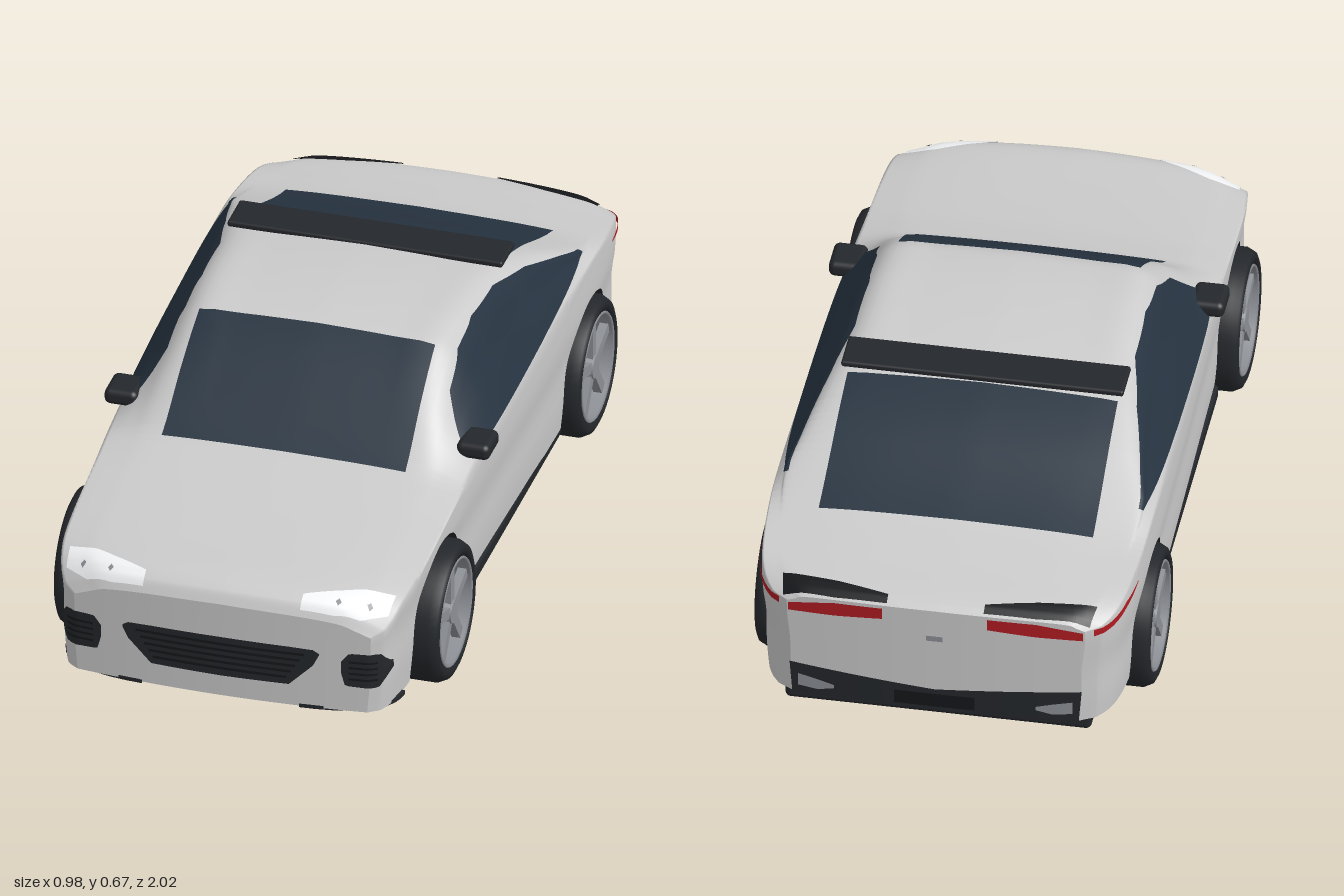
import * as THREE from 'three';
import { RoundedBoxGeometry } from 'three/addons/geometries/RoundedBoxGeometry.js';

const mat = (color) => new THREE.MeshStandardMaterial({ color, side: THREE.DoubleSide });

// smooth interpolation through [position, value] keys in ascending order
function keyed(keys) {
  const slope = keys.map((k, i) => {
    const a = keys[Math.max(i - 1, 0)], b = keys[Math.min(i + 1, keys.length - 1)];
    return (b[1] - a[1]) / (b[0] - a[0]);
  });
  return (p) => {
    let i = 0;
    while (i < keys.length - 2 && p > keys[i + 1][0]) i++;
    const [x0, y0] = keys[i], [x1, y1] = keys[i + 1], h = x1 - x0;
    const t = THREE.MathUtils.clamp((p - x0) / h, 0, 1), s = 1 - t;
    return (1 + 2 * t) * s * s * y0 + t * s * s * h * slope[i]
      + t * t * (3 - 2 * t) * y1 - t * t * s * h * slope[i + 1];
  };
}

// body guide lines along z: centre line, roof/hood edge, shoulder
const topY = keyed([[-1, .422], [-.97, .437], [-.85, .455], [-.72, .48], [-.6, .525], [-.45, .59], [-.3, .638], [-.15, .661],
  [0, .669], [.1, .665], [.17, .652], [.3, .572], [.41, .483], [.46, .452], [.5, .44], [.6, .42], [.8, .397], [.93, .386], [.965, .377], [.985, .362], [1, .337]]);
const edgeX = keyed([[-1, .32], [-.9, .37], [-.72, .405], [-.6, .42], [-.5, .395], [-.35, .362], [-.2, .335], [0, .325], [.2, .315], [.45, .335], [.7, .34], [.93, .33], [1, .29]]);
const edgeDrop = keyed([[-1, .008], [-.85, .01], [-.72, .014], [-.6, .02], [-.3, .02], [.2, .016], [.45, .008], [.8, .009], [.93, .013], [1, .014]]);
const shoulderX = keyed([[-1, .37], [-.98, .41], [-.92, .442], [-.8, .46], [-.6, .468], [-.1, .463], [.2, .458], [.5, .453], [.8, .446], [.93, .431], [.98, .41], [1, .378]]);
const shoulderY = keyed([[-1, .395], [-.9, .43], [-.75, .455], [-.6, .468], [-.2, .462], [.2, .447], [.4, .43], [.6, .4], [.85, .367], [.93, .345], [1, .29]]);
const sideShape = keyed([[.08, .955], [.18, .975], [.28, .978], [.36, 1], [.48, 1]]);

const WHEELS = [.615, -.6], WHEEL_Y = .178, ARCH = .19;
const sillY = (z) => (z > .43 ? .08 : z > -.6 ? .105 : .125);
function bottomY(z) {
  for (const c of WHEELS) {
    const d = Math.abs(z - c);
    if (d < ARCH + 1e-6) return WHEEL_Y + Math.sqrt(Math.max(0, ARCH * ARCH - d * d));
  }
  return sillY(z);
}
// rounds the nose and tail in plan
const bowZ = (x, z) => z - Math.sign(z) * (z > 0 ? .025 : .02) * (x / .4) ** 2 * THREE.MathUtils.smoothstep(Math.abs(z), .8, 1);

// half cross-section from the centre line down to the lower edge
function section(z) {
  const T = topY(z), R = edgeX(z), E = T - edgeDrop(z), S = shoulderX(z), B = shoulderY(z), low = bottomY(z);
  const pts = new THREE.SplineCurve([[0, T], [R * .6, T - edgeDrop(z) * .3], [R, E],
    [R + (S - R) * .54, E - (E - B) * .48], [S, B]].map((p) => new THREE.Vector2(...p))).getPoints(20);
  for (let i = 1; i <= 10; i++) {
    const y = B + (low - B) * i / 10;
    pts.push(new THREE.Vector2(S * sideShape(y) / sideShape(B), y));
  }
  return pts;
}

// surface from rows of [x, y, z] points
function sheet(rows) {
  const n = rows[0].length, index = [];
  for (let i = 0; i < rows.length - 1; i++) for (let j = 0; j < n - 1; j++) {
    const a = i * n + j, c = a + n;
    index.push(a, a + 1, c, a + 1, c + 1, c);
  }
  const g = new THREE.BufferGeometry();
  g.setAttribute('position', new THREE.Float32BufferAttribute(rows.flat(2), 3));
  g.setIndex(index);
  g.computeVertexNormals();
  return g;
}

export function createModel() {
  const car = new THREE.Group();
  car.name = 'car';
  const paint = mat(0xcccccc), dark = mat(0x24272b), black = mat(0x15171a), glass = mat(0x263340),
    lamp = mat(0xf4f6f8), red = mat(0xb01c22), metal = mat(0x8d9096);
  const add = (name, geo, m, x = 0, y = 0, z = 0, parent = car) => {
    const o = new THREE.Mesh(geo, m);
    o.name = name;
    o.position.set(x, y, z);
    parent.add(o);
    return o;
  };
  // adds a mirrored twin of a left-hand part
  const pair = (o) => {
    const twin = o.clone();
    twin.scale.x = -1;
    twin.position.x *= -1;
    twin.name = o.name.replace('left', 'right');
    car.add(twin);
  };

  // stations along the car, with extra ones around the wheel arches
  const zs = [-1, -.995, -.985, .985, .99, .995, 1];
  for (let i = -48; i <= 48; i++) zs.push(i / 49);
  for (const c of WHEELS) {
    zs.push(c - ARCH - .001, c + ARCH + .001);
    for (let i = 0; i <= 24; i++) zs.push(c - ARCH * Math.cos(i * Math.PI / 24));
  }
  zs.sort((a, b) => a - b);

  // body shell, nose and tail
  const shell = add('body shell', sheet(zs.map((z) => {
    const half = section(z).map((p) => [p.x, p.y, bowZ(p.x, z)]);
    return [...half.slice().reverse(), ...half.slice(1).map(([x, y, w]) => [-x, y, w])];
  })), paint);
  const across = Array.from({ length: 17 }, (_, i) => i / 8 - 1);
  const caps = [1, -1].map((end) => add(end > 0 ? 'nose' : 'tail', sheet(section(end).map((p) =>
    across.map((u) => [p.x * u * end, p.y, bowZ(p.x * u, end)]))), paint));

  // underside: floors and dark wheel tunnels
  const inArch = (c) => (z) => Math.abs(z - c) < ARCH + .0011;
  const under = (name, test, m) => add(name, sheet(zs.filter(test).map((z) => {
    const p = section(z).at(-1);
    return across.map((u) => [p.x * u, p.y, bowZ(p.x * u, z)]);
  })), m);
  under('front floor', (z) => z > WHEELS[0] + ARCH, paint);
  under('middle floor', (z) => z < WHEELS[0] - ARCH && z > WHEELS[1] + ARCH, paint);
  under('rear floor', (z) => z < WHEELS[1] - ARCH, dark);
  under('front wheel tunnel', inArch(WHEELS[0]), dark);
  under('rear wheel tunnel', inArch(WHEELS[1]), dark);

  // panel between two polylines, projected on to the body along an axis
  const ray = new THREE.Raycaster();
  const along = (line, t) => {
    const f = t * (line.length - 1), i = Math.min(Math.floor(f), line.length - 2), k = f - i;
    return [0, 1].map((n) => line[i][n] + (line[i + 1][n] - line[i][n]) * k);
  };
  function panel(name, lower, upper, axis, sign, m, lift = .005, nu = 16, nv = 8) {
    let depth = axis === 'x' ? .42 : axis === 'z' ? .95 : .35;
    const rows = [];
    for (let v = 0; v <= nv; v++) {
      rows.push([]);
      for (let u = 0; u <= nu; u++) {
        const a = along(lower, u / nu), b = along(upper, u / nu);
        const p = [0, 1].map((n) => a[n] + (b[n] - a[n]) * v / nv);
        const at = (d) => (axis === 'x' ? [d, p[1], p[0]] : axis === 'y' ? [p[0], d, p[1]] : [p[0], p[1], d]);
        const dir = new THREE.Vector3();
        dir[axis] = -sign;
        ray.set(new THREE.Vector3(...at(2 * sign)), dir);
        const hit = ray.intersectObjects([shell, ...caps], false)[0];
        if (hit) depth = Math.abs(hit.point[axis]);
        rows[v].push(at(sign * (depth + lift)));
      }
    }
    return add(name, sheet(rows), m);
  }

  // glass
  panel('windshield', [[-.31, .455], [.31, .455]], [[-.3, .165], [.3, .165]], 'y', 1, glass);
  panel('rear window', [[-.34, -.71], [.34, -.71]], [[-.335, -.34], [.335, -.34]], 'y', 1, glass);
  pair(panel('left side window',
    [[.34, .45], [.22, .453], [.1, .458], [-.05, .465], [-.2, .472], [-.35, .481], [-.48, .489], [-.605, .496]],
    [[.33, .475], [.24, .57], [.13, .625], [0, .642], [-.17, .633], [-.33, .6], [-.48, .547], [-.605, .501]],
    'x', 1, glass, .005, 28, 10));

  // headlights wrapped over the nose corners, with small bulbs
  pair(panel('left headlight', [[.2, .987], [.28, .981], [.35, .968], [.41, .935]],
    [[.2, .957], [.28, .925], [.34, .898], [.415, .885]], 'y', 1, lamp, .004, 20, 10));
  for (const [x, z] of [[.29, .958], [.365, .94]]) pair(panel('left headlight bulb', [[x - .007, z], [x, z + .008], [x + .007, z]],
    [[x - .007, z - .001], [x, z - .008], [x + .007, z - .001]], 'y', 1, metal, .007, 4, 2));

  // grille and side intakes with slats
  panel('grille', [[-.25, .23], [-.235, .2], [-.175, .14], [0, .138], [.175, .14], [.235, .2], [.25, .23]],
    [[-.25, .235], [-.235, .244], [-.175, .246], [0, .247], [.175, .246], [.235, .244], [.25, .235]], 'z', 1, dark, .004, 24, 6);
  for (let i = 0; i < 5; i++) {
    const y = .158 + i * .017, w = .17 + i * .011;
    panel('grille slat', [[-w, y], [w, y]], [[-w, y + .007], [w, y + .007]], 'z', 1, black, .008, 12, 1);
  }
  pair(panel('left intake', [[.305, .19], [.315, .153], [.395, .15], [.42, .19]],
    [[.305, .22], [.325, .245], [.4, .246], [.42, .21]], 'z', 1, dark, .005));
  for (let i = 0; i < 4; i++) {
    const y = .172 + i * .016;
    pair(panel('left intake slat', [[.325, y], [.395, y]], [[.325, y + .006], [.395, y + .006]], 'z', 1, black, .009, 6, 1));
  }

  // tail lamps: rear face, dark upper trim and side tip
  pair(panel('left tail lamp', [[.13, .385], [.25, .375], [.365, .372]], [[.13, .416], [.25, .413], [.365, .395]], 'z', -1, red, .006));
  pair(panel('left tail lamp top', [[.12, -.995], [.25, -.99], [.38, -.975]], [[.12, -.972], [.25, -.945], [.39, -.925]], 'y', 1, black, .005));
  pair(panel('left tail lamp tip', [[-.79, .421], [-.88, .408], [-.975, .38]], [[-.79, .425], [-.88, .425], [-.975, .398]], 'x', 1, red, .006));

  // rear bumper band, plate recess, exhaust trims and handle
  panel('rear bumper band', [[-.355, .127], [0, .127], [.355, .127]], [[-.362, .215], [0, .188], [.362, .215]], 'z', -1, dark, .005, 20, 6);
  panel('plate recess', [[-.1, .138], [.1, .138]], [[-.1, .176], [.1, .176]], 'z', -1, black, .008, 6, 2);
  pair(panel('left exhaust trim', [[.25, .155], [.29, .145], [.34, .15]], [[.25, .165], [.29, .175], [.34, .185]], 'z', -1, metal, .009, 8, 3));
  panel('boot handle', [[-.02, .335], [.02, .335]], [[-.02, .35], [.02, .35]], 'z', -1, metal, .006, 4, 1);
  add('rear diffuser', new RoundedBoxGeometry(.76, .05, .09, 2, .015), dark, 0, .103, -.915);

  // corner splitters, side skirts, roof bar and mirrors
  const lip = new THREE.Shape();
  lip.moveTo(.43, -.86);
  lip.quadraticCurveTo(.425, -.985, .2, -.995);
  lip.quadraticCurveTo(.37, -.965, .39, -.86);
  pair(add('left front splitter', new THREE.ExtrudeGeometry(lip, { depth: .01, bevelEnabled: false, curveSegments: 10 }).rotateX(-Math.PI / 2), dark, 0, .076, 0));
  pair(add('left side skirt', new RoundedBoxGeometry(.05, .038, .85, 2, .01), dark, .422, .099, .003));
  add('roof bar', new RoundedBoxGeometry(.7, .016, .11, 2, .006), dark, 0, .648, -.295);
  pair(add('left mirror', new RoundedBoxGeometry(.085, .042, .1, 3, .016), dark, .448, .47, .3));

  // wheels: tyre, open rim and five spokes
  const ring = (pts) => new THREE.LatheGeometry(pts.map((p) => new THREE.Vector2(...p)), 48).rotateZ(-Math.PI / 2);
  const tyre = ring([[.138, -.06], [.155, -.066], [.168, -.06], [.178, -.04], [.178, .04], [.168, .06], [.155, .066], [.138, .06], [.138, -.06]]);
  const rim = ring([[.13, -.06], [.139, -.062], [.139, .06], [.136, .064], [.13, .06], [.13, -.06]]);
  for (const z of WHEELS) {
    const wheel = new THREE.Group();
    wheel.name = `left ${z > 0 ? 'front' : 'rear'} wheel`;
    wheel.position.set(.425, .178, z);
    car.add(wheel);
    add('tyre', tyre, dark, 0, 0, 0, wheel);
    add('rim', rim, metal, 0, 0, 0, wheel);
    add('hub', new THREE.CylinderGeometry(.03, .035, .035, 24).rotateZ(-Math.PI / 2), metal, .04, 0, 0, wheel);
    for (let i = 0; i < 5; i++) {
      const spoke = new THREE.BoxGeometry(.022, .115, .028).translate(.042, .077, 0);
      add('spoke', spoke, metal, 0, 0, 0, wheel).rotation.x = i * Math.PI * 2 / 5;
    }
    pair(wheel);
  }
  return car;
}
